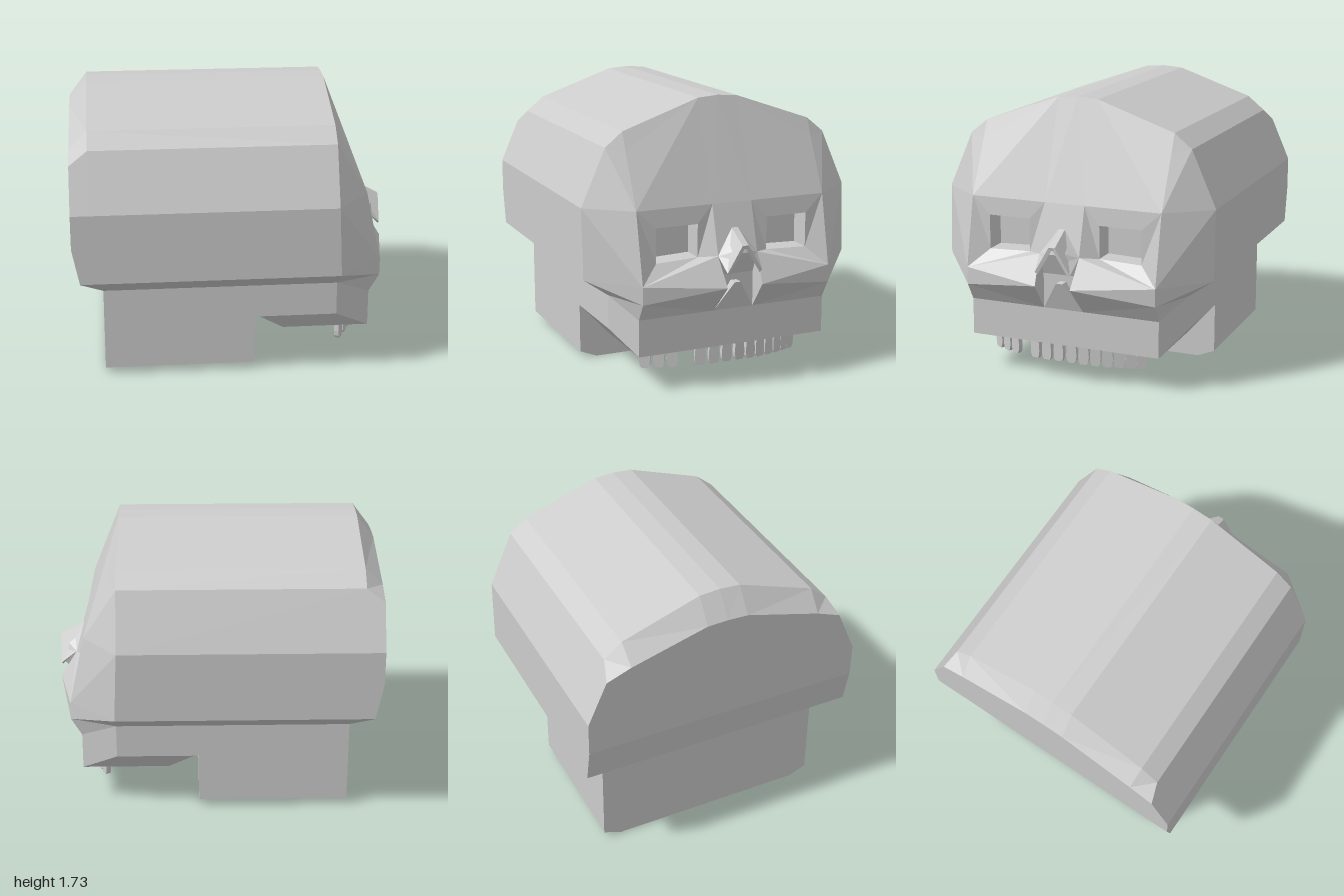
import * as THREE from 'three';

const bone = new THREE.MeshStandardMaterial({ color: 0xcccccc, side: THREE.DoubleSide, flatShading: true });
bone.name = 'bone';

// Flat mesh from polygons of one half (+z), mirrored to -z and wound outwards from a centre
function mirroredPanels(name, polygons, centre = [0.2, 0.8, 0]) {
  const pos = [];
  const c = new THREE.Vector3(...centre);
  for (const side of [1, -1]) {
    for (const poly of polygons) {
      const v = poly.map(([x, y, z]) => new THREE.Vector3(x, y, z * side));
      for (let i = 1; i < v.length - 1; i++) {
        const tri = [v[0], v[i], v[i + 1]];
        const n = new THREE.Vector3().crossVectors(
          tri[1].clone().sub(tri[0]), tri[2].clone().sub(tri[0]));
        if (n.lengthSq() < 1e-12) continue;
        const mid = tri[0].clone().add(tri[1]).add(tri[2]).divideScalar(3);
        if (n.dot(mid.sub(c)) < 0) tri.reverse();
        tri.forEach(p => pos.push(p.x, p.y, p.z));
      }
    }
  }
  const g = new THREE.BufferGeometry();
  g.setAttribute('position', new THREE.Float32BufferAttribute(pos, 3));
  g.computeVertexNormals();
  const m = new THREE.Mesh(g, bone);
  m.name = name;
  return m;
}

const centreLine = ([x, y]) => [x, y, 0];

export function createModel() {
  const model = new THREE.Group();
  model.name = 'skull';

  // Half outlines of the cranium, top centre to underside
  const mid = [[-0.89, 1.73, 0], [-0.89, 1.72, 0.13], [-0.89, 1.55, 0.62], [-0.89, 1.46, 0.73],
    [-0.89, 1.11, 0.885], [-0.89, 0.9, 0.885], [-0.89, 0.675, 0.885], [-0.82, 0.565, 0.73]];
  const back = [[-1, 1.58, 0], [-1, 1.575, 0.13], [-1, 1.44, 0.61], [-1, 1.38, 0.765],
    [-1, 1.11, 0.885], [-1, 0.9, 0.885], [-0.955, 0.675, 0.885], [-0.82, 0.565, 0.73]];
  const frontX = [0.6, 0.6, 0.6, 0.6, 0.6, 0.61, 0.62, 0.62];
  const front = mid.map(([, y, z], i) => [frontX[i], y, z]);

  const cranium = [];
  for (let i = 0; i < mid.length - 1; i++) {
    cranium.push([back[i], back[i + 1], mid[i + 1], mid[i]]);
    cranium.push([mid[i], mid[i + 1], front[i + 1], front[i]]);
    cranium.push([centreLine(back[i]), back[i], back[i + 1], centreLine(back[i + 1])]);
  }
  cranium.push([mid[7], front[7], centreLine(front[7]), centreLine(mid[7])]);
  model.add(mirroredPanels('cranium', cranium));

  // Face corners
  const [C0, C1, C2, C3, C4, C4b, C5, C6] = front;
  const browIn = [0.81, 1.11, 0.13], browOut = [0.81, 1.11, 0.62], temple = [0.65, 1.44, 0.62];
  const cheekTop = [0.905, 0.675, 0.62], cheekLow = [0.905, 0.565, 0.62];
  const bridge = [0.895, 0.81, 0.13], cheekTip = [1, 0.635, 0.115];
  const eye = [[0.82, 1, 0.23], [0.82, 1, 0.5], [0.82, 0.785, 0.5], [0.82, 0.795, 0.23]];
  const jawIn = [0.84, 0.455, 0.13], jawOut = [0.84, 0.455, 0.62], jawEdge = [0.84, 0.225, 0.62];

  model.add(mirroredPanels('forehead', [
    [C0, C1, browIn, centreLine(browIn)],
    [C1, C2, temple, browOut, browIn],
    [C2, C3, temple],
    [C3, C4, browOut, temple],
    [C4, C4b, C5, cheekTop, browOut],
  ]));

  model.add(mirroredPanels('browAndCheeks', [
    [browIn, browOut, eye[1], eye[0]],
    [browOut, cheekTop, eye[2], eye[1]],
    [cheekTop, bridge, eye[3], eye[2]],
    [browIn, eye[0], eye[3], bridge],
    [browIn, bridge, centreLine(bridge), centreLine(browIn)],
    [cheekTop, bridge, cheekTip, cheekLow],
    [cheekLow, cheekTip, jawIn, jawOut],
    [C5, cheekTop, cheekLow, C6],
  ]));

  // Recessed eye sockets
  const deep = eye.map(([, y, z]) => [0.68, y, z]);
  model.add(mirroredPanels('eyeSockets', [deep,
    ...eye.map((p, i) => [p, eye[(i + 1) % 4], deep[(i + 1) % 4], deep[i]])]));

  // Nasal opening with its central spine
  const nasal = [0.84, 0.675, 0.13];
  model.add(mirroredPanels('nasalOpening', [
    [bridge, nasal, centreLine(nasal), centreLine(bridge)],
    [nasal, jawIn, centreLine(jawIn), centreLine(nasal)],
    [bridge, cheekTip, jawIn, nasal],
    [[0.9, 0.635, 0], [0.9, 0.635, 0.02], jawIn, centreLine(jawIn)],
    [[0.9, 0.635, 0.02], [0.84, 0.635, 0.02], jawIn],
    [[0.9, 0.635, 0], [0.9, 0.635, 0.02], [0.84, 0.635, 0.02], [0.84, 0.635, 0]],
  ]));

  // Nose bone: an open roof leaning forward
  const ridgeB = [0.85, 0.965, 0.02], ridgeF = [1, 0.885, 0.02];
  const footF = [0.995, 0.725, 0.115], inner = [0.995, 0.865, 0.005], innerFoot = [0.99, 0.71, 0.1];
  model.add(mirroredPanels('noseBone', [
    [centreLine(ridgeB), ridgeB, ridgeF, centreLine(ridgeF)],
    [ridgeB, bridge, footF, ridgeF],
    [ridgeF, footF, innerFoot, inner],
    [centreLine(ridgeF), ridgeF, inner, centreLine(inner)],
    [inner, innerFoot, bridge, [0.86, 0.95, 0.005]],
    [bridge, footF, innerFoot],
  ], [0.85, 0.7, 0]));

  // Upper jaw with bevelled underside
  const j0 = [0.11, 0.355, 0.73], j1 = [0.14, 0.355, 0.73], j2 = [0.62, 0.355, 0.73];
  const under = [0.3, 0.225, 0.62];
  model.add(mirroredPanels('upperJaw', [
    [[0.11, 0.565, 0.73], j0, j2, C6],
    [C6, j2, jawEdge, jawOut, cheekLow],
    [jawOut, jawEdge, centreLine(jawEdge), centreLine(jawOut)],
    [j1, j2, jawEdge, under],
    [j1, under, centreLine(under), centreLine(j1)],
    [under, jawEdge, centreLine(jawEdge), centreLine(under)],
    [j0, j1, centreLine(j1), centreLine(j0)],
  ], [0.45, 0.42, 0]));

  // Lower block of the head, chamfered along both lower edges
  const section = new THREE.Shape([[-0.73, 0.565], [-0.73, 0.045], [-0.62, 0],
    [0.62, 0], [0.73, 0.045], [0.73, 0.565]].map(p => new THREE.Vector2(...p)));
  const baseGeo = new THREE.ExtrudeGeometry(section, { depth: 0.93, bevelEnabled: false });
  baseGeo.rotateY(Math.PI / 2).translate(-0.82, 0, 0);
  const base = new THREE.Mesh(baseGeo, bone);
  base.name = 'skullBase';
  model.add(base);

  // Teeth along a curved row, with one gap
  const teeth = new THREE.Group();
  teeth.name = 'teeth';
  const teethZ = [0.515, 0.44, 0.365, 0.205, 0.12, 0.038, -0.048, -0.125, -0.197, -0.268, -0.337, -0.4, -0.458];
  for (const z of teethZ) {
    const h = 0.11 + 0.05 * Math.abs(z), w = 0.034;
    const outline = new THREE.Shape([[-w * 0.85, 0], [-w, -h + 0.05], [-w * 0.9, -h + 0.018], [-w * 0.6, -h],
      [w * 0.6, -h], [w * 0.9, -h + 0.018], [w, -h + 0.05], [w * 0.85, 0]].map(p => new THREE.Vector2(...p)));
    const g = new THREE.ExtrudeGeometry(outline, { depth: 0.03, bevelEnabled: false });
    g.translate(0, 0, -0.015);
    const tooth = new THREE.Mesh(g, bone);
    tooth.name = 'tooth';
    tooth.position.set(0.825 - 0.57 * z * z, 0.23, z);
    tooth.rotation.y = Math.PI / 2 - Math.atan(1.14 * z);
    teeth.add(tooth);
  }
  model.add(teeth);

  return model;
}
